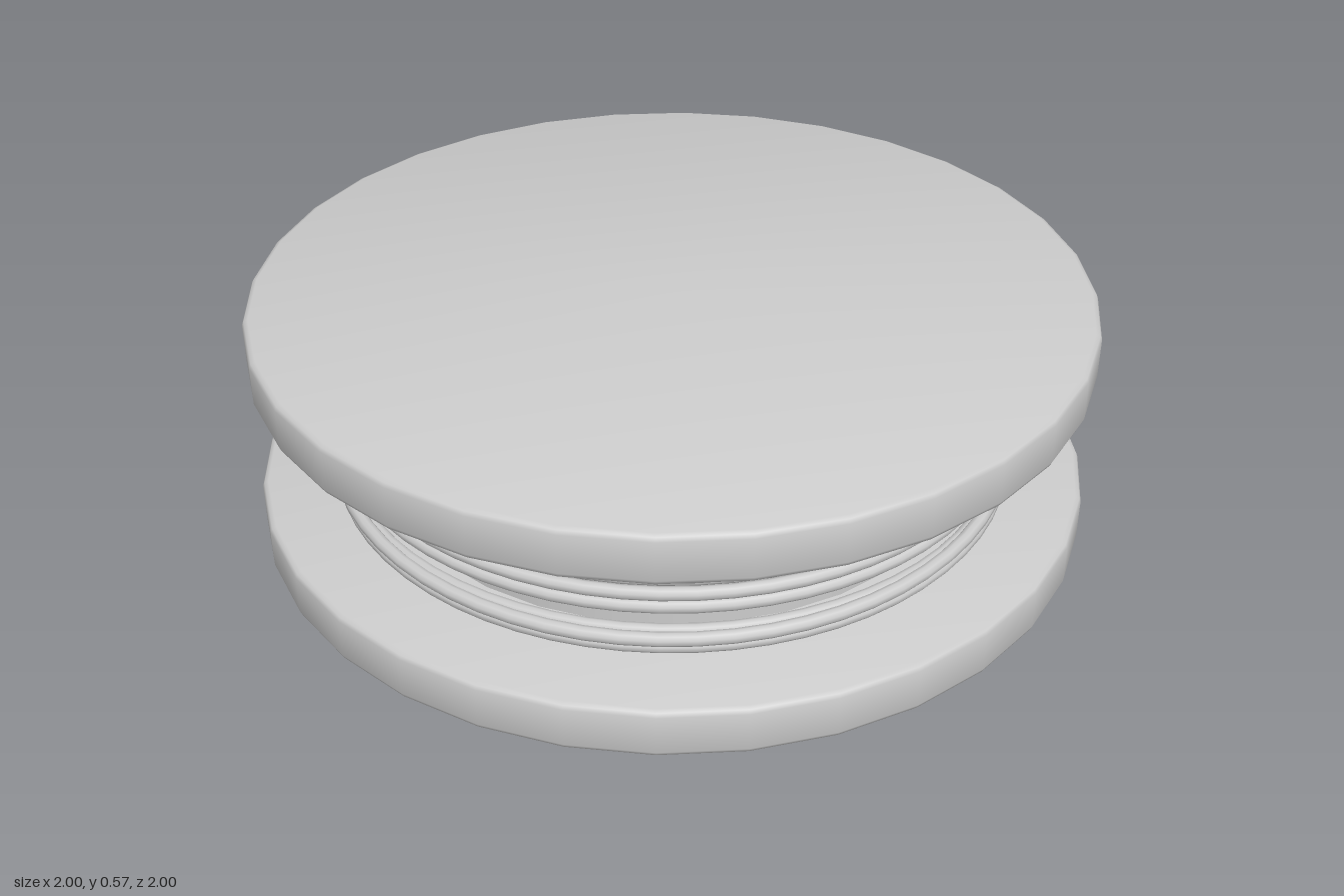
import * as THREE from 'three';
import { toCreasedNormals } from 'three/addons/utils/BufferGeometryUtils.js';

const material = new THREE.MeshStandardMaterial({ color: 0xcccccc, side: THREE.DoubleSide });
const WIRE = 0.016;

// Round flange with a small bevel on both rims
function flange(name, y) {
  const h = 0.122, b = 0.014;
  const profile = [[0, 0], [1 - b, 0], [1 - b * 0.3, b * 0.3], [1, b], [1, h - b], [1 - b * 0.3, h - b * 0.3], [1 - b, h], [0, h]]
    .map(([r, v]) => new THREE.Vector2(r, v));
  const mesh = new THREE.Mesh(toCreasedNormals(new THREE.LatheGeometry(profile, 32), 0.8), material);
  mesh.name = name;
  mesh.position.y = y;
  return mesh;
}

// One loop of wire: outer x radius, its front and back reach in z, and the heights there
function wireLoop(name, rx, front, back, yFront, yBack) {
  const points = [];
  const cz = (front + back) / 2, rz = (front - back) / 2 - WIRE;
  for (let i = 0; i < 48; i++) {
    const a = (i / 48) * Math.PI * 2, c = Math.cos(a);
    points.push(new THREE.Vector3(
      Math.sin(a) * (rx - WIRE),
      (yFront + yBack) / 2 + c * (yFront - yBack) / 2,
      cz + c * rz));
  }
  const curve = new THREE.CatmullRomCurve3(points, true);
  const mesh = new THREE.Mesh(new THREE.TubeGeometry(curve, 64, WIRE, 10, true), material);
  mesh.name = name;
  return mesh;
}

export function createModel() {
  const group = new THREE.Group();
  group.name = 'spool';
  group.add(flange('bottomFlange', 0.005), flange('topFlange', 0.453));

  // Core between the flanges
  const core = new THREE.Mesh(new THREE.CylinderGeometry(0.71, 0.71, 0.4, 32), material);
  core.name = 'core';
  core.position.y = 0.29;
  group.add(core);

  // Wound loops: height, x radius, front z, back z
  const winding = new THREE.Group();
  winding.name = 'wireWinding';
  [
    [0.145, 0.82, 0.82, -0.82],
    [0.178, 0.82, 0.81, -0.83],
    [0.211, 0.82, 0.88, -0.82],
    [0.244, 0.82, 0.81, -0.83],
    [0.277, 0.82, 0.81, -0.82],
    [0.31, 0.81, 0.8, -0.845],
    [0.343, 0.81, 0.835, -0.81],
    [0.376, 0.82, 0.81, -0.835],
    [0.435, 0.805, 0.81, -0.78],
  ].forEach(([y, rx, f, b], i) => winding.add(wireLoop('wireLoop' + (i + 1), rx, f, b, y, y)));

  // Loose loop slanting across the winding
  winding.add(wireLoop('looseWireLoop', 0.85, 0.83, -0.955, 0.43, 0.182));
  group.add(winding);
  return group;
}
